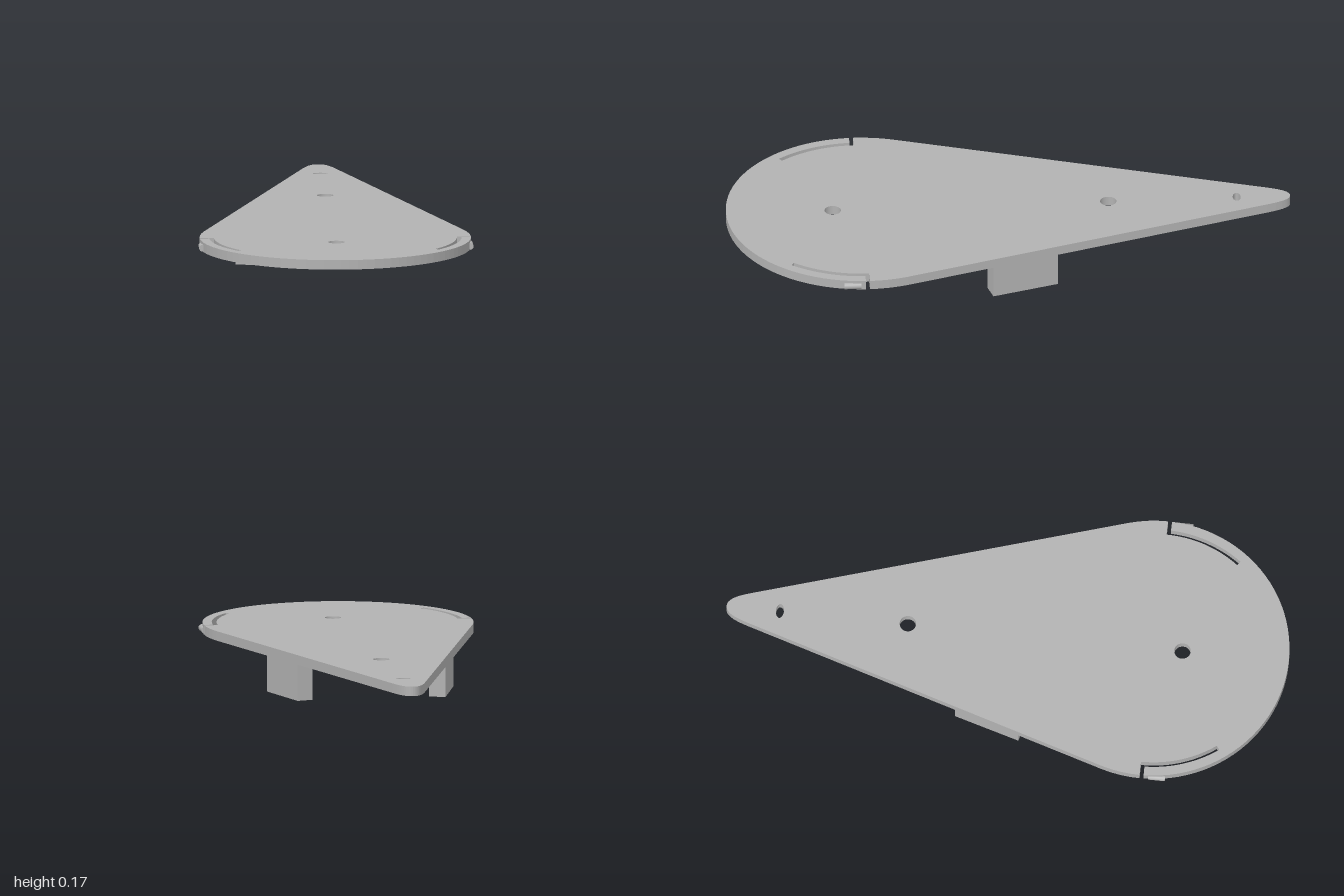
import * as THREE from 'three';

const TOP = 0.172, BOTTOM = 0.138;   // plate faces
const CZ = 0.52, R = 0.48;           // centre and radius of the round end
const TILT = Math.atan(0.295);       // slant of the straight sides

// Points along an arc about the centre of the round end
function arc(r, a0, a1, n) {
  return Array.from({ length: n + 1 }, (_, i) => {
    const a = a0 + (a1 - a0) * i / n;
    return new THREE.Vector2(r * Math.cos(a), CZ + r * Math.sin(a));
  });
}

// Right half of the teardrop, from the tip to the round end, with the slit for the spring arm
function halfOutline() {
  const tip = new THREE.CubicBezierCurve(
    new THREE.Vector2(0, -1), new THREE.Vector2(0.03, -1),
    new THREE.Vector2(0.045, -0.955), new THREE.Vector2(0.062, -0.9));
  const slitEnd = 0.65;
  return [
    ...tip.getPoints(10),
    ...arc(R, -TILT, 0, 4),
    ...arc(0.43, 0, slitEnd, 12),
    ...arc(0.447, slitEnd, 0.031, 12),
    ...arc(R, 0.03, Math.PI / 2, 24),
  ];
}

function hole(z, rx, rz) {
  return new THREE.Path().absellipse(0, z, rx, rz, 0, Math.PI * 2, true);
}

export function createModel() {
  const group = new THREE.Group();
  const grey = new THREE.MeshStandardMaterial({ color: 0xb2b2b2 });
  grey.name = 'grey plastic';

  const add = (name, geometry, x, y, z) => {
    const mesh = new THREE.Mesh(geometry, grey);
    mesh.name = name;
    mesh.position.set(x, y, z);
    group.add(mesh);
    return mesh;
  };

  // Teardrop plate with two round holes and one oval hole
  const half = halfOutline();
  const mirrored = half.slice(1, -1).reverse().map(p => new THREE.Vector2(-p.x, p.y));
  const shape = new THREE.Shape([...half, ...mirrored]);
  shape.holes.push(hole(-0.355, 0.029, 0.029), hole(0.622, 0.029, 0.029), hole(-0.81, 0.026, 0.014));
  const plate = new THREE.ExtrudeGeometry(shape, {
    depth: TOP - BOTTOM, bevelEnabled: false, curveSegments: 24,
  });
  plate.rotateX(Math.PI / 2);
  add('plate', plate, 0, TOP, 0);

  for (const [side, s] of [['left', 1], ['right', -1]]) {
    // Block foot, parallel to the slanted side
    const foot = add(side + 'Foot', new THREE.BoxGeometry(0.059, 0.14, 0.243), s * 0.272, 0.07, -0.035);
    foot.rotation.y = s * TILT;

    // Small rounded catch on the outside of the spring arm
    const catchBump = new THREE.CylinderGeometry(0.012, 0.012, 0.06, 16);
    catchBump.rotateX(Math.PI / 2);
    add(side + 'Catch', catchBump, s * 0.474, 0.151, 0.58);
  }
  return group;
}
